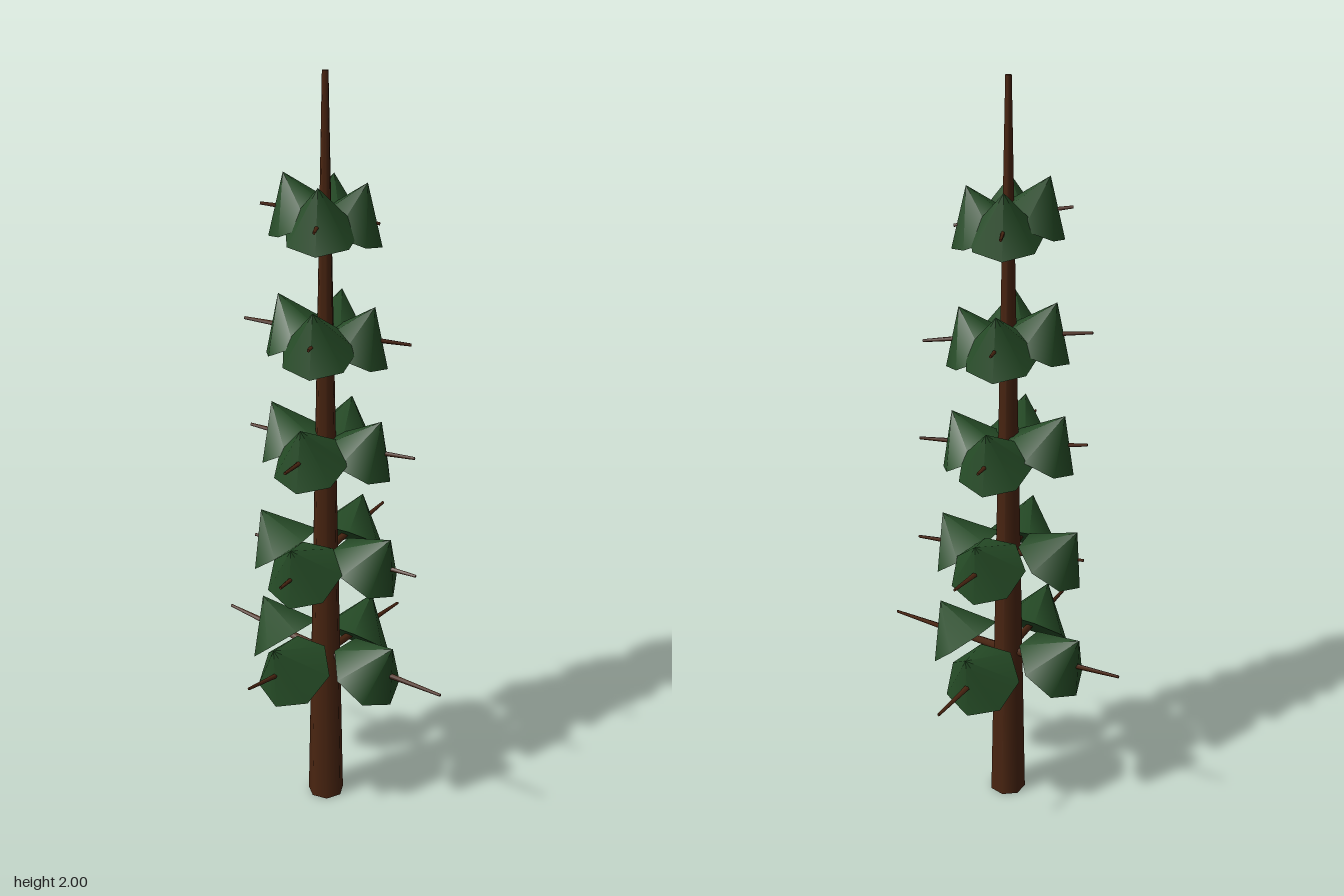
import * as THREE from 'three';

const bark = new THREE.MeshStandardMaterial({ color: 0x4a2511 });
bark.name = 'bark brown';
const needles = new THREE.MeshStandardMaterial({ color: 0x254b26 });
needles.name = 'needle green';

const CX = -0.012, CZ = 0.014; // trunk axis

// Each tier: height on the trunk, foliage cone (distance out, drop below the
// branch, outward tilt in degrees, radius, height) and branch tips as [x, y, z]
const tiers = [
  { y: 0.45, out: 0.14, drop: 0.02, tilt: 40, radius: 0.106, height: 0.135,
    tips: [[0.275, 0.455, 0.265], [-0.22, 0.49, 0.27], [-0.275, 0.475, -0.215], [0.21, 0.44, -0.275]] },
  { y: 0.755, out: 0.12, drop: 0.02, tilt: 36, radius: 0.103, height: 0.125,
    tips: [[0.215, 0.745, 0.155], [-0.135, 0.757, 0.23], [-0.2, 0.76, -0.085], [0.16, 0.78, -0.24]] },
  { y: 1.06, out: 0.09, drop: 0.027, tilt: 29, radius: 0.1, height: 0.128,
    tips: [[0.21, 1.055, 0.11], [-0.12, 1.07, 0.23], [-0.205, 1.085, -0.075], [0.09, 1.06, -0.165]] },
  { y: 1.36, out: 0.07, drop: 0.035, tilt: 25, radius: 0.098, height: 0.13,
    tips: [[0.2, 1.34, 0.06], [-0.06, 1.365, 0.175], [-0.215, 1.38, -0.06], [0.055, 1.36, -0.15]] },
  { y: 1.665, out: 0.052, drop: 0.033, tilt: 23, radius: 0.096, height: 0.13,
    tips: [[0.12, 1.64, 0.035], [-0.045, 1.65, 0.17], [-0.17, 1.685, -0.005], [0.03, 1.645, -0.15]] },
];

// Tapered stick between two points
function stick(name, from, to, r0, r1, sides) {
  const dir = to.clone().sub(from);
  const mesh = new THREE.Mesh(new THREE.CylinderGeometry(r1, r0, dir.length(), sides), bark);
  mesh.name = name;
  mesh.position.copy(from).add(to).multiplyScalar(0.5);
  mesh.quaternion.setFromUnitVectors(new THREE.Vector3(0, 1, 0), dir.normalize());
  return mesh;
}

export function createModel() {
  const tree = new THREE.Group();
  tree.name = 'coniferTree';

  // Trunk
  tree.add(stick('trunk', new THREE.Vector3(CX, 0, CZ), new THREE.Vector3(CX, 2, CZ), 0.05, 0.008, 7));

  // Whorls of four branches, each under an outward-leaning foliage cone
  tiers.forEach((tier, t) => {
    const whorl = new THREE.Group();
    whorl.name = `whorl${t + 1}`;
    const cone = new THREE.ConeGeometry(tier.radius, tier.height, 7);
    cone.rotateY(Math.PI / 2);
    cone.translate(0, tier.height / 2, 0);
    const root = new THREE.Vector3(CX, tier.y, CZ);
    tier.tips.forEach((tip) => {
      const end = new THREE.Vector3(...tip);
      whorl.add(stick('branch', root, end, 0.013 - t * 0.001, 0.004, 5));

      const angle = Math.atan2(end.z - CZ, end.x - CX);
      const foliage = new THREE.Mesh(cone, needles);
      foliage.name = 'foliageCone';
      foliage.position.set(
        CX + Math.cos(angle) * tier.out,
        tier.y - tier.drop + (end.y - tier.y) * 0.5,
        CZ + Math.sin(angle) * tier.out,
      );
      foliage.rotation.set(0, -angle, -THREE.MathUtils.degToRad(tier.tilt));
      whorl.add(foliage);
    });
    tree.add(whorl);
  });
  return tree;
}
